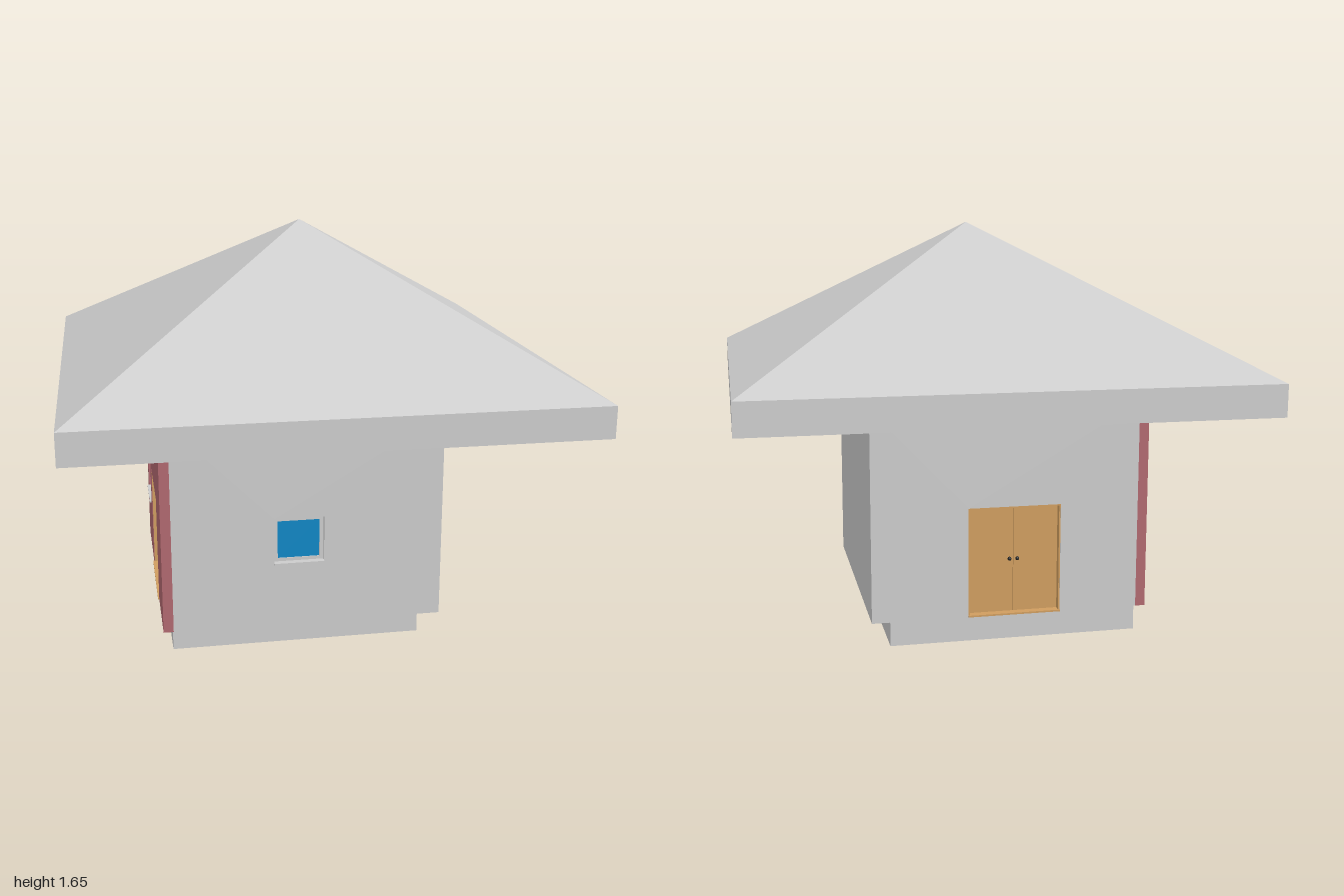
import * as THREE from 'three';

const mat = (color) => new THREE.MeshStandardMaterial({ color });
const GREY = mat(0xcccccc), RED = mat(0xb0686f), BLUE = mat(0x0e86c4);
const WOOD = mat(0xcf9d5f), DARK = mat(0x222222);

const FLOOR = 0.105, EAVE = 0.955, FASCIA = 0.125, APEX = 1.655;

// Box given by its minimum and maximum corners
function block(name, material, [x0, y0, z0], [x1, y1, z1]) {
  const mesh = new THREE.Mesh(new THREE.BoxGeometry(x1 - x0, y1 - y0, z1 - z0), material);
  mesh.position.set((x0 + x1) / 2, (y0 + y1) / 2, (z0 + z1) / 2);
  mesh.name = name;
  return mesh;
}

function rectPath(PathType, { x0, x1, y0, y1 }) {
  return new PathType([[x0, y0], [x1, y0], [x1, y1], [x0, y1]].map((p) => new THREE.Vector2(...p)));
}

// Rectangle with rectangular holes, extruded backwards from z = front
function panel(name, material, outer, holes, front, depth) {
  const shape = rectPath(THREE.Shape, outer);
  holes.forEach((h) => shape.holes.push(rectPath(THREE.Path, h)));
  const geo = new THREE.ExtrudeGeometry(shape, { depth, bevelEnabled: false });
  geo.translate(0, 0, front - depth);
  const mesh = new THREE.Mesh(geo, material);
  mesh.name = name;
  return mesh;
}

// Recessed window: frame, pane and a slightly projecting sill
function makeWindow(r) {
  const g = new THREE.Group();
  g.name = 'window';
  const w = 0.016;
  const inner = { x0: r.x0 + w, x1: r.x1 - w, y0: r.y0 + w, y1: r.y1 - w };
  g.add(
    panel('windowFrame', GREY, r, [inner], -0.018, 0.02),
    block('windowPane', BLUE, [inner.x0, inner.y0, -0.032], [inner.x1, inner.y1, -0.022]),
    block('windowSill', GREY, [r.x0, r.y0 - 0.004, -0.02], [r.x1, r.y0 + 0.003, 0.008]),
  );
  return g;
}

// Recessed double door: thin frame, two leaves with knobs, threshold
function makeDoor(r) {
  const g = new THREE.Group();
  g.name = 'doubleDoor';
  const w = 0.006, mid = (r.x0 + r.x1) / 2;
  const inner = { x0: r.x0 + w, x1: r.x1 - w, y0: r.y0 + 0.001, y1: r.y1 - w };
  g.add(
    panel('doorFrame', WOOD, r, [inner], -0.002, 0.034),
    block('threshold', WOOD, [r.x0, r.y0 - 0.002, -0.035], [r.x1, r.y0 + 0.005, 0.005]),
  );
  for (const side of [-1, 1]) {
    const a = mid + side * 0.001, b = side < 0 ? inner.x0 : inner.x1;
    g.add(block('doorLeaf', WOOD, [Math.min(a, b), r.y0, -0.038], [Math.max(a, b), inner.y1, -0.028]));
    const knob = new THREE.Mesh(new THREE.SphereGeometry(0.008, 12, 8), DARK);
    knob.position.set(mid + side * 0.016, 0.33, -0.022);
    knob.name = 'doorKnob';
    g.add(knob);
  }
  return g;
}

// Wall in its own frame: outer face at z = 0, seen from +z
function makeWall(name, material, x0, x1, depth, windows = [], doors = []) {
  const g = new THREE.Group();
  g.name = name;
  const outer = { x0, x1, y0: FLOOR, y1: EAVE };
  g.add(panel(name + 'Panel', material, outer, [...windows, ...doors], 0, depth));
  windows.forEach((r) => g.add(makeWindow(r)));
  doors.forEach((r) => g.add(makeDoor(r)));
  return g;
}

function place(group, angle, x, z) {
  group.rotation.y = angle;
  group.position.set(x, 0, z);
  return group;
}

// Hollow pyramid roof with a vertical fascia
function makeRoof() {
  const r = Math.SQRT2;
  const profile = [[0, APEX - FASCIA], [r, EAVE], [r, EAVE + FASCIA], [0, APEX]]
    .map((p) => new THREE.Vector2(...p));
  const geo = new THREE.LatheGeometry(profile, 4, Math.PI / 4).toNonIndexed();
  geo.computeVertexNormals();
  const roofMat = GREY.clone();
  roofMat.flatShading = true;
  const roof = new THREE.Mesh(geo, roofMat);
  roof.name = 'roof';
  return roof;
}

export function createModel() {
  const model = new THREE.Group();
  model.name = 'house';

  // Plinth and floor
  model.add(
    block('plinth', GREY, [-0.6, 0, -0.515], [0.41, FLOOR, 0.51]),
    block('floor', GREY, [-0.6, FLOOR, -0.485], [0.435, FLOOR + 0.015, 0.52]),
  );

  // Walls
  const t = 0.05;
  const frontWindow = { x0: -0.195, x1: 0.005, y0: 0.367, y1: 0.555 };
  const sideWindow = { x0: -0.45, x1: -0.228, y0: 0.367, y1: 0.605 };
  const sideDoor = { x0: -0.148, x1: 0.255, y0: FLOOR + 0.002, y1: 0.555 };
  const backDoor = { x0: -0.098, x1: 0.278, y0: FLOOR + 0.002, y1: 0.55 };
  model.add(
    place(makeWall('frontWall', GREY, -0.6, 0.485, t, [frontWindow]), 0, 0, 0.57),
    place(makeWall('backWall', GREY, -0.485, 0.6, t, [], [backDoor]), Math.PI, 0, -0.535),
    place(makeWall('leftWall', GREY, -0.52, 0.485, t), Math.PI / 2, 0.485, 0),
    place(makeWall('rightWall', RED, -0.535, 0.57, 0.04, [sideWindow], [sideDoor]), -Math.PI / 2, -0.64, 0),
  );

  model.add(makeRoof());
  return model;
}
